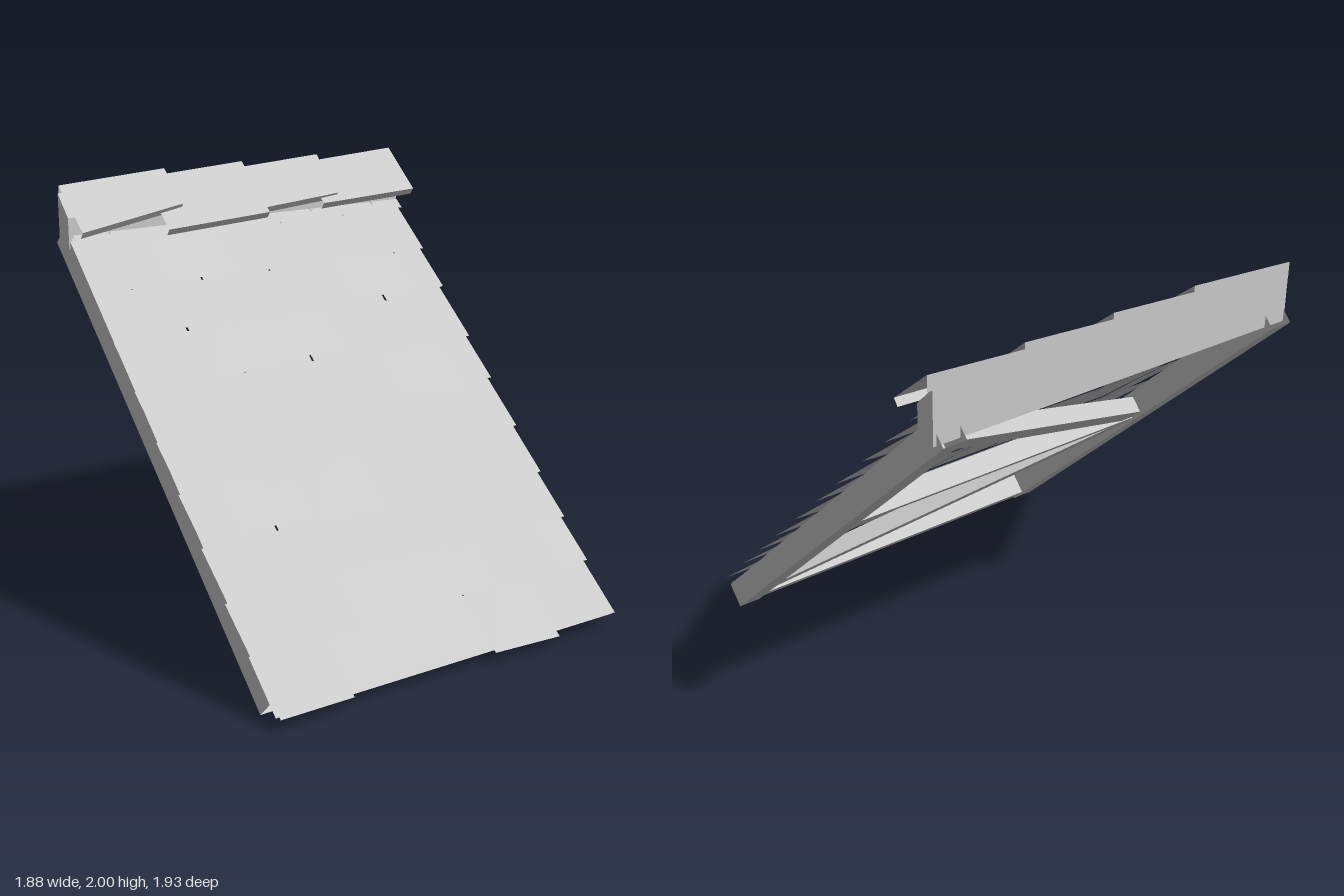
import * as THREE from 'three';

const grey = new THREE.MeshStandardMaterial({ color: 0xcccccc, side: THREE.DoubleSide });
grey.name = 'plain grey';

function add(parent, name, geometry) {
  const mesh = new THREE.Mesh(geometry, grey);
  mesh.name = name;
  parent.add(mesh);
  return mesh;
}

// Straight timber, open at its ends, between two points [x, z] in the plane of the roof
function timber(parent, name, [x0, z0], [x1, z1], width, depth, y) {
  const dx = x1 - x0, dz = z1 - z0;
  const geometry = new THREE.BoxGeometry(width, depth, Math.hypot(dx, dz));
  geometry.setIndex(Array.from(geometry.index.array.slice(0, 24)));
  geometry.clearGroups();
  const mesh = add(parent, name, geometry);
  mesh.position.set((x0 + x1) / 2, y, (z0 + z1) / 2);
  mesh.rotation.y = Math.atan2(dx, dz);
}

// Bent sheet along x, spanning two end sections of [z, y] points
function sheet(parent, name, x0, x1, left, right) {
  const points = [];
  for (let i = 0; i < left.length - 1; i++) {
    const a = [x0, left[i][1], left[i][0]], b = [x1, right[i][1], right[i][0]];
    const c = [x0, left[i + 1][1], left[i + 1][0]], d = [x1, right[i + 1][1], right[i + 1][0]];
    points.push(...a, ...c, ...b, ...b, ...c, ...d);
  }
  const geometry = new THREE.BufferGeometry();
  geometry.setAttribute('position', new THREE.Float32BufferAttribute(points, 3));
  geometry.computeVertexNormals();
  add(parent, name, geometry);
}

// Lower edge of each shingle, left and right, in hundredths above its row line
const uneven = [
  [0, 0, 3, 3, 3, 3, 0, -1, 1, 1],
  [-2, -2, 0, 0, 2, -1, 2, 2, 0, 0, 2, 2],
  [0, 0, -1, 1, 0, 0, -2, -2, 0, 0],
  [0, 0, 2, 2, 0, -1, -2, -1, -2, -2, -1, -1],
  [0, 0, -4, -1, 0, 0, 0, 0, -5, -1],
  [-2, -2, 0, 0, -3, 0, 0, 0, 2, -2, 0, 0],
  [-1, -1, 1, 0, 2, 2, -3, -3, -1, -1],
  [1, 1, 1, 1, -1, -1, -1, -1, 2, 2, -1, 2],
  [-1, 0, 1, 0, -1, 1, 0, 0, 0, 0],
  [0, 0, -1, -1, -2, -2, 0, 0, 0, 0, 0, 0],
];

export function createModel() {
  const model = new THREE.Group();
  model.name = 'shingledRoofPanel';

  // Sloping panel: local z runs down the slope, local y points out of it
  const panel = new THREE.Group();
  panel.name = 'slopingPanel';
  const slope = Math.atan2(1.69, 1.74);
  panel.position.set(0, 0.935, -0.01);
  panel.rotation.x = slope;
  model.add(panel);

  // Timber frame
  const frame = new THREE.Group();
  frame.name = 'frame';
  panel.add(frame);
  timber(frame, 'leftRail', [0.84, -1.213], [0.857, 1.213], 0.11, 0.12, -0.06);
  timber(frame, 'rightRail', [-0.88, -1.213], [-0.863, 1.213], 0.11, 0.12, -0.06);
  timber(frame, 'lowerBeam', [-0.85, 1.155], [0.85, 1.145], 0.08, 0.11, -0.06);
  timber(frame, 'middleBeam', [-0.85, -0.04], [0.85, -0.04], 0.05, 0.1, -0.058);
  timber(frame, 'upperBrace', [0.78, -1.1], [-0.82, -0.08], 0.1, 0.08, -0.064);
  timber(frame, 'lowerBrace', [-0.82, 0.01], [0.8, 1.07], 0.1, 0.08, -0.064);

  // Staggered rows of shingles, each long enough to lie under the next two rows
  const shingles = new THREE.Group();
  shingles.name = 'shingles';
  panel.add(shingles);
  const lift = 0.05, length = 0.55, ridgeLine = -1.13;
  const down = y => (0.935 + lift * Math.cos(slope) - y) / Math.sin(slope);
  uneven.forEach((row, r) => {
    const y = 0.063 + 0.1838 * r;
    const start = r % 2 ? -1.118 : -0.933;
    const top = Math.max(ridgeLine, down(y) - length);
    const topLift = lift * (1 - (down(y) - top) / length);
    for (let i = 0; i < row.length / 2; i++) {
      const x0 = Math.max(-0.933, start + 0.37 * i);
      const x1 = Math.min(0.892, start + 0.37 * i + 0.36);
      sheet(shingles, 'shingle', x0, x1,
        [[top, topLift], [down(y + row[2 * i] / 100), lift]],
        [[top, topLift], [down(y + row[2 * i + 1] / 100), lift]]);
    }
  });

  // Starter course showing below the first row
  const starter = [[1.0, 0.004], [1.28, 0.012]];
  sheet(shingles, 'starterCourse', -0.93, 0.89, starter, starter);

  // Ridge beam with a bevelled top
  const profile = new THREE.Shape([[0.92, 1.93], [0.82, 1.83], [0.82, 1.685], [0.92, 1.685]]
    .map(([x, y]) => new THREE.Vector2(x, y)));
  const beam = add(model, 'ridgeBeam',
    new THREE.ExtrudeGeometry(profile, { depth: 1.85, bevelEnabled: false }));
  beam.rotation.y = Math.PI / 2;
  beam.position.x = -0.94;

  // Overlapping bent ridge caps, each tipped up at its right end
  const section = (back, front, z) =>
    [[-0.93, back - 0.07], [-0.93, back], [z, front], [z - 0.023, front - 0.03]];
  const caps = [
    [-0.93, 1.78, 1.855, -0.69, -0.75],
    [-0.5, 1.755, 1.785, -0.67, -0.67],
    [-0.06, 1.795, 1.83, -0.7, -0.735],
    [0.39, 1.79, 1.815, -0.71, -0.71],
  ];
  for (const [x, y0, y1, z0, z1] of caps) {
    sheet(model, 'ridgeCap', x, x + 0.55, section(1.965, y0, z0), section(2, y1, z1));
  }

  return model;
}
